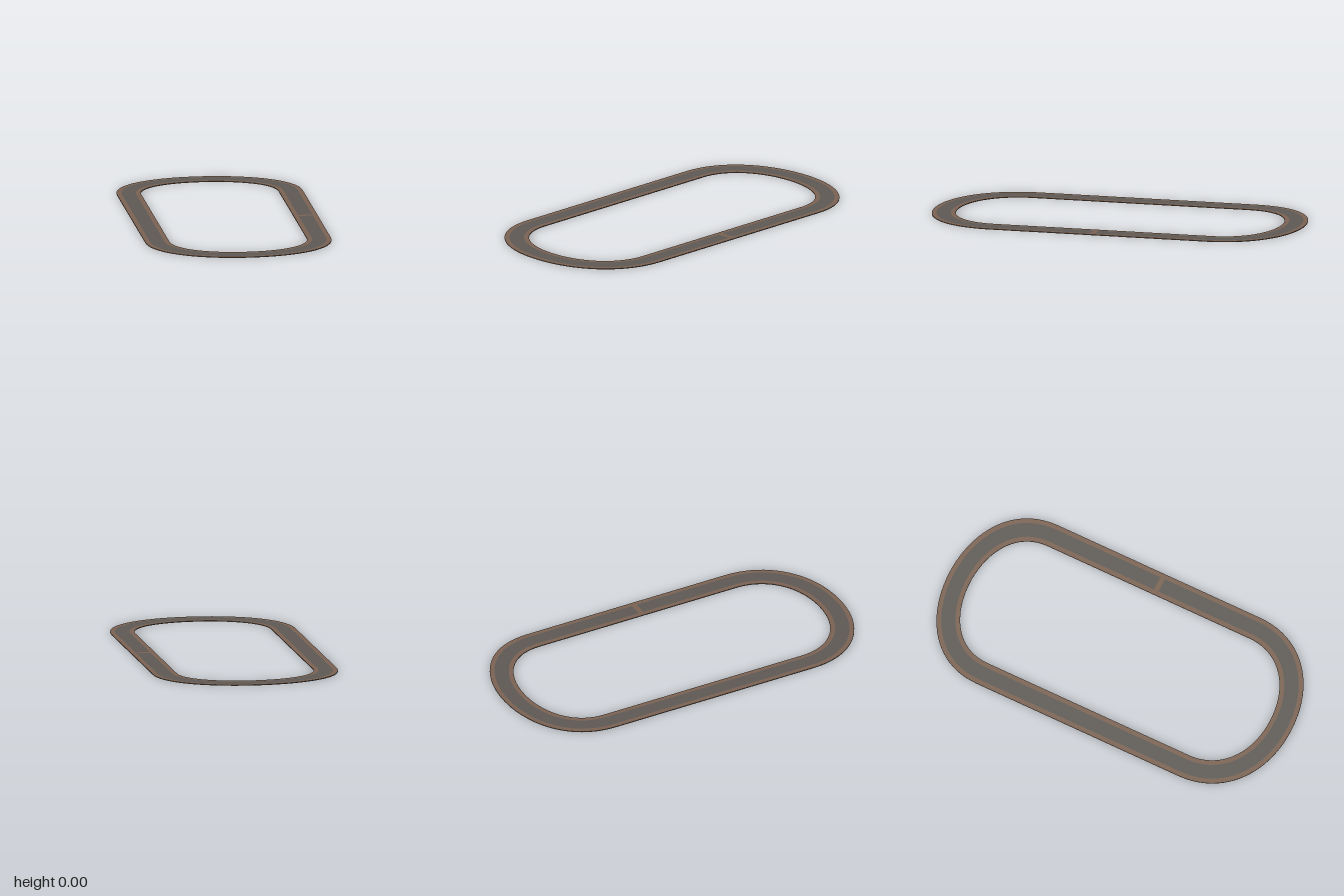
import * as THREE from 'three';

const SLAB = 0.004, PAINT = 0.0008;

// Closed track outline; s runs from 0 (outer edge) to 1 (inner edge).
// Drawn in the XY plane, where shape y becomes -z after laying it flat.
function outline(s, PathType) {
  const w = 0.49 - 0.127 * s;
  const back = 1 - 0.122 * s, front = 0.998 - 0.124 * s;
  const b0 = 0.6, f0 = 0.575;
  const bc = b0 + (back - b0) * 0.68, fc = f0 + (front - f0) * 0.6;
  const p = new PathType();
  p.moveTo(w, -f0);
  p.lineTo(w, b0);
  p.bezierCurveTo(w, bc, w * 0.5, back, 0, back);
  p.bezierCurveTo(-w * 0.5, back, -w, bc, -w, b0);
  p.lineTo(-w, -f0);
  p.bezierCurveTo(-w, -fc, -w * 0.58, -front, 0, -front);
  p.bezierCurveTo(w * 0.58, -front, w, -fc, w, -f0);
  return p;
}

// Ring-shaped area between two outlines
function ringShape(s0, s1) {
  const shape = outline(s0, THREE.Shape);
  shape.holes.push(outline(s1, THREE.Path));
  return shape;
}

// Lays a geometry flat at height y and names it
function flatPart(name, geometry, y, material) {
  const mesh = new THREE.Mesh(geometry.rotateX(-Math.PI / 2), material);
  mesh.name = name;
  mesh.position.y = y;
  return mesh;
}

export function createModel() {
  const asphalt = new THREE.MeshStandardMaterial({ name: 'asphalt', color: 0x5f5a55 });
  const kerb = new THREE.MeshStandardMaterial({ name: 'brownKerb', color: 0x7c6453 });

  const track = new THREE.Group();
  track.name = 'raceTrack';

  // Road slab: asphalt faces, brown edges
  const slab = new THREE.ExtrudeGeometry(ringShape(0, 1), {
    depth: SLAB, bevelEnabled: false, curveSegments: 20,
  });
  track.add(flatPart('road', slab, 0, [asphalt, kerb]));

  // Painted border along each edge
  for (const [name, s0, s1] of [['outerBorder', 0, 0.2], ['innerBorder', 0.8, 1]]) {
    track.add(flatPart(name, new THREE.ShapeGeometry(ringShape(s0, s1), 20), SLAB + PAINT, kerb));
  }

  // Start line across the left straight
  const line = flatPart('startLine', new THREE.PlaneGeometry(0.1, 0.027), SLAB + PAINT, kerb);
  line.position.x = 0.427;
  line.position.z = 0.02;
  track.add(line);

  return track;
}
